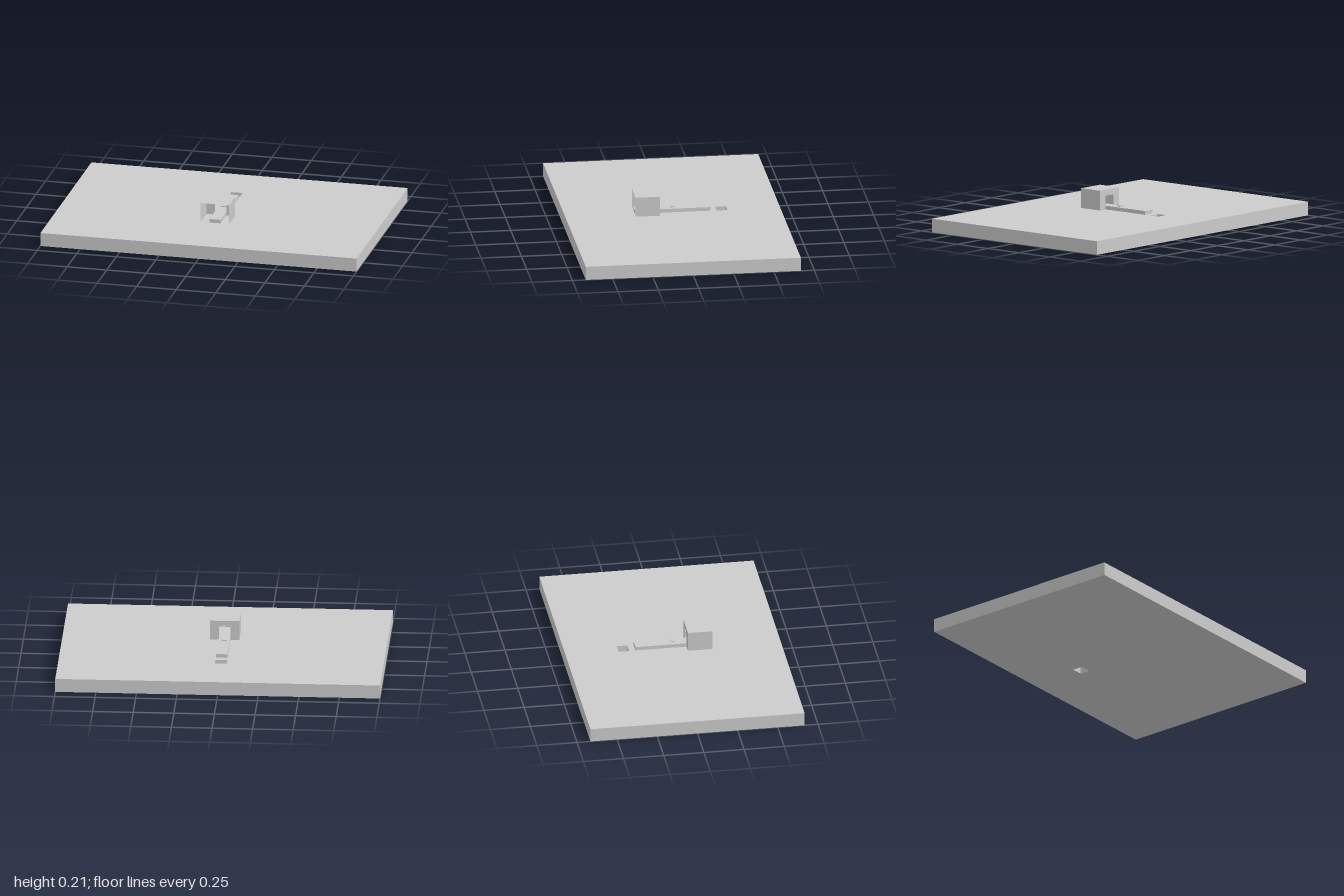
import * as THREE from 'three';

const material = new THREE.MeshStandardMaterial({ color: 0xcccccc, flatShading: true, side: THREE.DoubleSide });

// Rectangular outline, usable as a shape or as a hole
function rect(Type, x0, y0, x1, y1) {
  const r = new Type();
  r.moveTo(x0, y0);
  r.lineTo(x1, y0);
  r.lineTo(x1, y1);
  r.lineTo(x0, y1);
  r.closePath();
  return r;
}

export function createModel() {
  const group = new THREE.Group();
  const add = (name, geometry, x = 0, y = 0, z = 0, parent = group) => {
    const mesh = new THREE.Mesh(geometry, material);
    mesh.name = name;
    mesh.position.set(x, y, z);
    parent.add(mesh);
    return mesh;
  };

  // Base slab with a square drop hole behind the track
  const slabTop = 0.085;
  const slab = rect(THREE.Shape, -1, -0.667, 1, 0.667);
  slab.holes.push(rect(THREE.Path, -0.037, 0.272, 0.037, 0.338));
  add('baseSlab', new THREE.ExtrudeGeometry(slab, { depth: slabTop, bevelEnabled: false }).rotateX(-Math.PI / 2));

  // Thin-walled housing, open at the front, with an opening in the back wall
  const housing = new THREE.Group();
  housing.name = 'housing';
  group.add(housing);
  const w = 0.09, top = 0.208, back = 0.085, front = 0.237;
  const midY = (slabTop + top) / 2, midZ = (back + front) / 2;
  add('housingRoof', new THREE.PlaneGeometry(2 * w, front - back).rotateX(-Math.PI / 2), 0, top, midZ, housing);
  for (const side of [-1, 1]) {
    add(side > 0 ? 'housingLeftWall' : 'housingRightWall',
      new THREE.PlaneGeometry(front - back, top - slabTop).rotateY(side * Math.PI / 2), side * w, midY, midZ, housing);
  }
  const backWall = rect(THREE.Shape, -w, slabTop, w, top);
  backWall.holes.push(rect(THREE.Path, -0.036, slabTop + 0.001, 0.036, 0.17));
  add('housingBackWall', new THREE.ShapeGeometry(backWall), 0, 0, back, housing);
  add('openingLintel', new THREE.BoxGeometry(0.036, 0.008, 0.008), 0, 0.176, back - 0.001, housing);

  // Track running out of the housing towards the drop hole
  add('track', new THREE.BoxGeometry(0.07, 0.023, 0.468), 0, slabTop + 0.0115, 0.001);

  // Tiny carriage on the track
  const carriage = new THREE.Group();
  carriage.name = 'carriage';
  group.add(carriage);
  add('carriageBody', new THREE.BoxGeometry(0.024, 0.006, 0.02), 0, 0.114, 0, carriage);
  for (const x of [-0.014, 0.014]) {
    for (const z of [-0.008, 0.008]) {
      add('carriageWheel', new THREE.CylinderGeometry(0.004, 0.004, 0.004, 10).rotateZ(Math.PI / 2), x, 0.112, z, carriage);
    }
  }
  return group;
}
